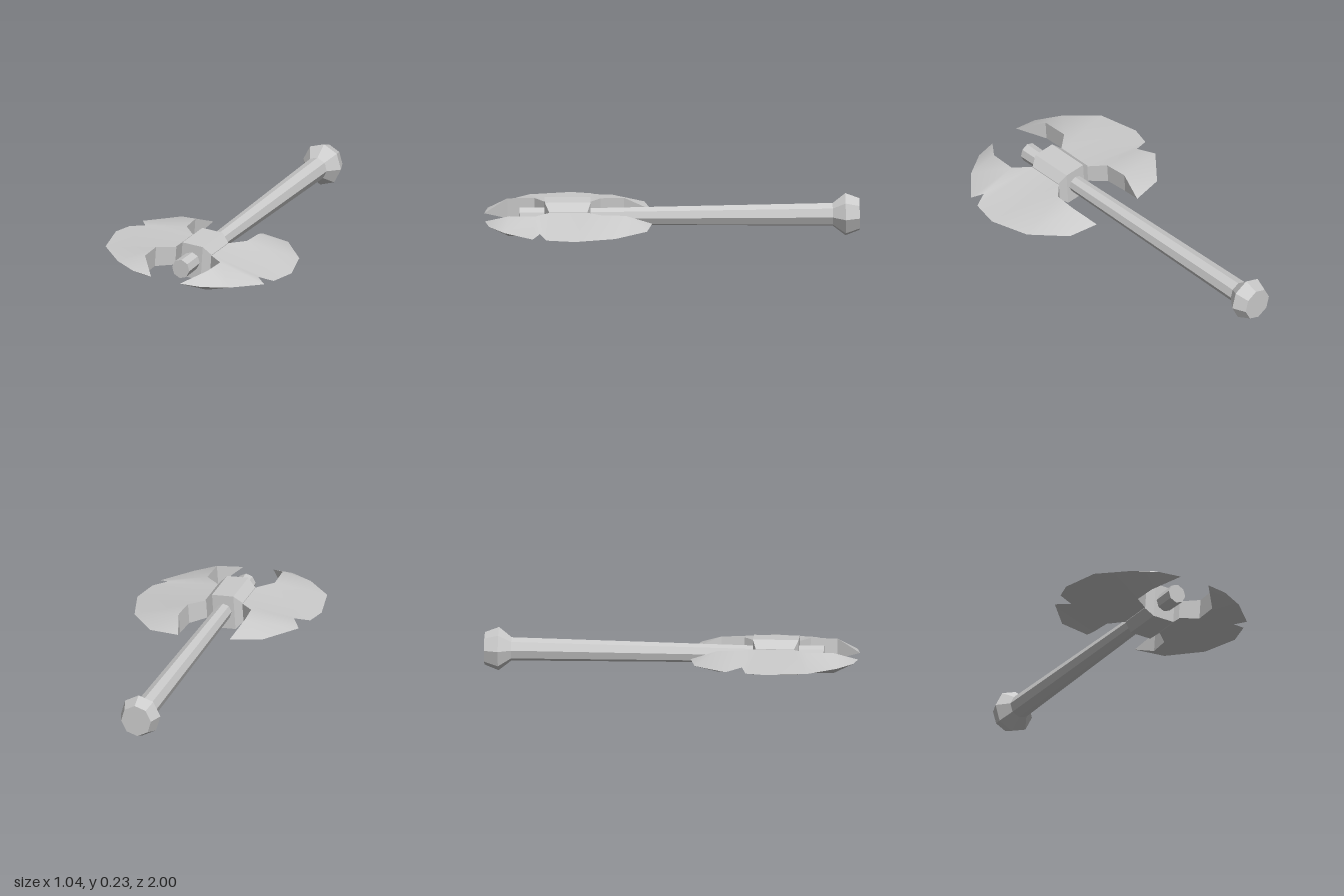
import * as THREE from 'three';
import { ConvexGeometry } from 'three/addons/geometries/ConvexGeometry.js';

const flat = new THREE.MeshStandardMaterial({ color: 0xcccccc, flatShading: true });
const smooth = new THREE.MeshStandardMaterial({ color: 0xcccccc });

function addMesh(parent, name, geometry, material) {
  const mesh = new THREE.Mesh(geometry, material);
  mesh.name = name;
  parent.add(mesh);
  return mesh;
}

// Eight-sided solid turned around the z axis; profile is [radius, z] from back to front
function turned(profile) {
  const geo = new THREE.LatheGeometry(profile.map(([r, z]) => new THREE.Vector2(r, z)), 8);
  return geo.rotateX(Math.PI / 2).rotateZ(-0.1).scale(0.96, 1, 1);
}

// Inner edge of a blade: [distance from axis, z, half thickness]
const inner = [
  [0.146, 0.107, 0], [0.187, 0.25, 0.055], [0.178, 0.375, 0.055], [0.1, 0.452, 0.05],
  [0.1, 0.653, 0.05], [0.19, 0.727, 0.055], [0.186, 0.87, 0.055], [0.085, 0.997, 0],
];

// Cutting edges, each with one notch
const leftEdge = [
  [0.312, 0.138, 0], [0.462, 0.312, 0], [0.52, 0.527, 0], [0.487, 0.678, 0],
  [0.41, 0.71, 0.016], [0.466, 0.75, 0], [0.33, 0.898, 0], [0.2, 0.976, 0],
];
const rightEdge = [
  [0.318, 0.138, 0], [0.465, 0.312, 0], [0.41, 0.396, 0.016], [0.492, 0.42, 0],
  [0.52, 0.527, 0], [0.475, 0.748, 0], [0.33, 0.898, 0], [0.2, 0.976, 0],
];

// Blade skinned as a strip between inner and cutting edge.
// steps tells which side advances next: I = inner, O = outer.
function bladeGeometry(side, outer, steps) {
  const pos = [], index = [];
  const points = [...inner, ...outer];
  const n = points.length;
  const tri = (a, b, c) => (side > 0 ? index.push(a, b, c) : index.push(a, c, b));
  for (const s of [1, -1]) for (const [x, z, h] of points) pos.push(side * x, s * h, z);

  // upper and lower faces
  let i = 0, o = inner.length;
  for (const step of steps) {
    const next = step === 'I' ? i + 1 : o + 1;
    tri(i, next, o);
    tri(i + n, o + n, next + n);
    if (step === 'I') i = next; else o = next;
  }

  // wall along the inner edge
  for (let k = 0; k < inner.length - 1; k++) {
    const base = pos.length / 3;
    for (const [x, z, h] of [inner[k], inner[k + 1]]) {
      pos.push(side * x, -h, z, side * x, h, z);
    }
    tri(base, base + 2, base + 1);
    tri(base + 1, base + 2, base + 3);
  }

  const geo = new THREE.BufferGeometry();
  geo.setAttribute('position', new THREE.Float32BufferAttribute(pos, 3));
  geo.setIndex(index);
  geo.computeVertexNormals();
  return geo;
}

// Eight-sided collar with chamfered ends
function collarGeometry() {
  const points = [];
  for (const sx of [-1, 1]) for (const sy of [-1, 1]) for (const sz of [-1, 1]) {
    points.push(new THREE.Vector3(sx * 0.06, sy * 0.095, 0.555 + sz * 0.122));
    points.push(new THREE.Vector3(sx * 0.105, sy * 0.053, 0.553 + sz * 0.102));
  }
  return new ConvexGeometry(points);
}

export function createModel() {
  const model = new THREE.Group();
  model.name = 'doubleAxe';

  // Shaft and pommel, rising slightly towards the back
  const haft = new THREE.Group();
  haft.name = 'haft';
  haft.position.y = 0.115;
  haft.rotation.x = 0.005;
  model.add(haft);
  addMesh(haft, 'handle', turned([[0, -0.87], [0.063, -0.87], [0.046, 0.44], [0.053, 0.81], [0, 0.81]]), flat);
  addMesh(haft, 'pommel', turned([[0, -1], [0.088, -1], [0.117, -0.925], [0.063, -0.857], [0, -0.857]]), flat);

  // Head, twisted a little around the shaft
  const head = new THREE.Group();
  head.name = 'head';
  head.position.y = 0.11;
  head.rotation.z = -0.067;
  model.add(head);
  addMesh(head, 'collar', collarGeometry(), flat);
  addMesh(head, 'leftBlade', bladeGeometry(1, leftEdge, 'IOIOIIOOIOOIOI'), smooth);
  addMesh(head, 'rightBlade', bladeGeometry(-1, rightEdge, 'IOIOIOOIOIOIOI'), smooth);

  return model;
}
